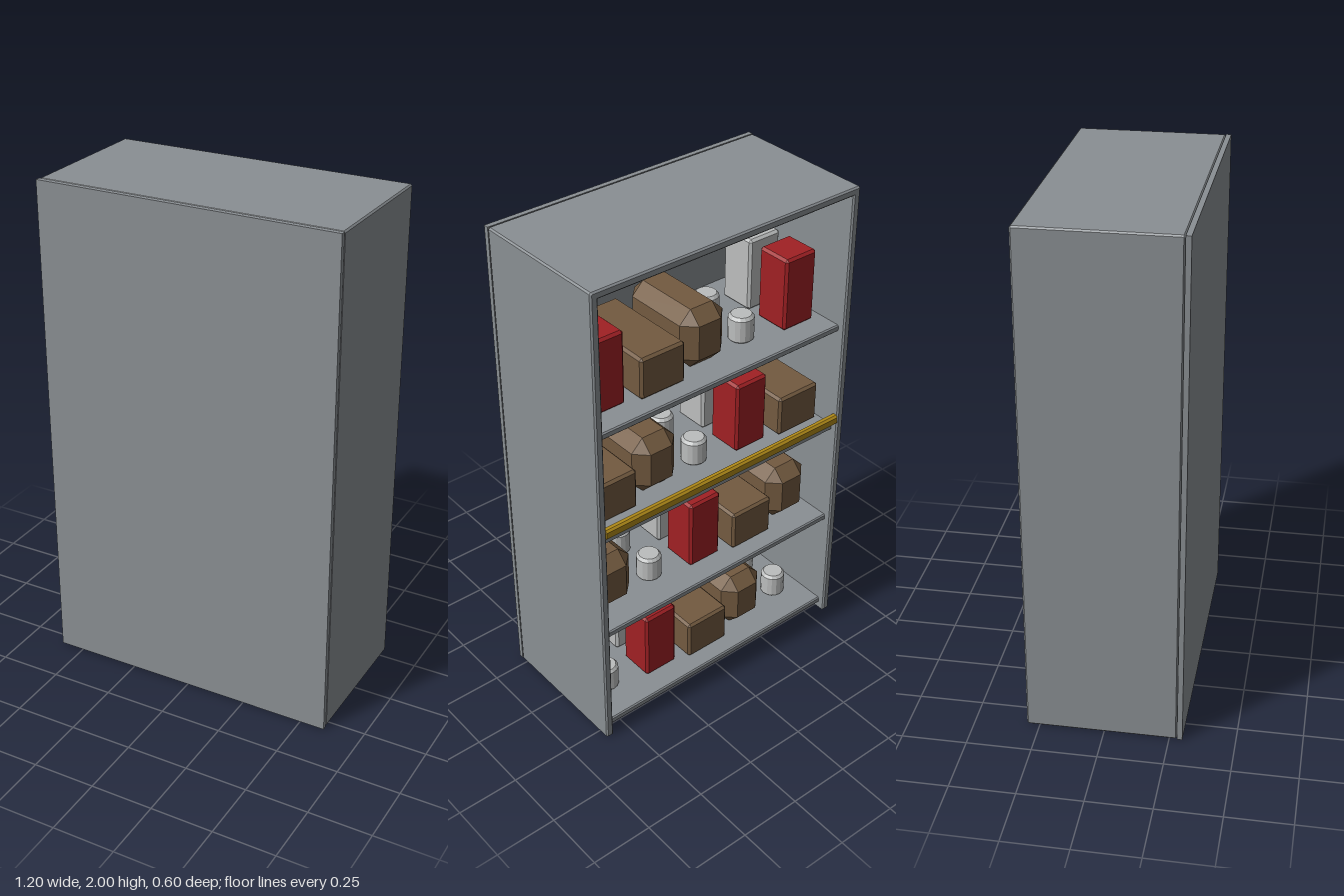
import * as THREE from 'three';
import { ConvexGeometry } from 'three/addons/geometries/ConvexGeometry.js';

const mat = (name, hex) => {
  const m = new THREE.MeshStandardMaterial({ color: hex });
  m.name = name;
  return m;
};

// Box with flat chamfers on all edges, standing on its base
function chamferBox(w, h, d, c) {
  const pts = [];
  for (const sx of [-1, 1]) for (const sy of [-1, 1]) for (const sz of [-1, 1]) {
    for (const [a, b, e] of [[0, c, c], [c, 0, c], [c, c, 0]]) {
      pts.push(new THREE.Vector3(sx * (w / 2 - a), h / 2 + sy * (h / 2 - b), sz * (d / 2 - e)));
    }
  }
  return new ConvexGeometry(pts);
}

export function createModel() {
  const grey = mat('steel grey', 0x8a8f93);
  const red = mat('red', 0xa02024);
  const brown = mat('brown', 0x735a40);
  const white = mat('off white', 0xbcbebe);
  const yellow = mat('yellow', 0xb08a18);

  const model = new THREE.Group();
  model.name = 'storageCabinet';
  const add = (parent, name, geometry, material, x, y, z) => {
    const mesh = new THREE.Mesh(geometry, material);
    mesh.name = name;
    mesh.position.set(x, y, z);
    parent.add(mesh);
  };

  // Casing: two sides and a top, open at the back and between the feet
  const b = 0.006, t = 0.032;
  const casing = new THREE.Shape([
    [-0.6, b], [-0.6 + b, 0], [-0.6 + t, 0], [-0.6 + t, 2 - t], [0.6 - t, 2 - t], [0.6 - t, 0],
    [0.6 - b, 0], [0.6, b], [0.6, 2 - b], [0.6 - b, 2], [-0.6 + b, 2], [-0.6, 2 - b],
  ].map(([x, y]) => new THREE.Vector2(x, y)));
  add(model, 'casing', new THREE.ExtrudeGeometry(casing, {
    depth: 0.58 - 2 * b, bevelThickness: b, bevelSize: b, bevelOffset: -b, bevelSegments: 1,
  }), grey, 0, 0, -0.3 + b);

  // Closed front panel
  add(model, 'frontPanel', new THREE.BoxGeometry(1.2, 2, 0.02), grey, 0, 1, 0.29);

  // Safety bar across the open side
  add(model, 'safetyBar', chamferBox(1.15, 0.042, 0.03, 0.008), yellow, 0, 0.979, -0.285);

  // Shared goods
  const canProfile = [[0, 0], [0.044, 0], [0.05, 0.006], [0.05, 0.094], [0.04, 0.106], [0, 0.106]]
    .map(([x, y]) => new THREE.Vector2(x, y));
  const canLathe = new THREE.LatheGeometry(canProfile, 16).toNonIndexed();
  canLathe.computeVertexNormals();
  const carton = chamferBox(0.15, 0.3, 0.15, 0.01);
  const parcel = chamferBox(0.2, 0.17, 0.4, 0.01);
  const sack = chamferBox(0.2, 0.24, 0.37, 0.05);
  const row = 0.1;

  // Each slot filler places its goods at x on a shelf group
  const fillers = [
    (g, x) => {
      add(g, 'redCarton', carton, red, x, 0, -row);
      add(g, 'whiteCarton', carton, white, x, 0, row);
    },
    (g, x) => add(g, 'brownParcel', parcel, brown, x, 0, 0),
    (g, x) => add(g, 'brownSack', sack, brown, x, 0, 0),
    (g, x) => {
      for (const z of [-row, row]) add(g, 'can', canLathe, white, x, 0, z);
    },
  ];

  // Four shelves, the goods shifting by one slot per level
  const shelfGeometry = chamferBox(1.15, 0.028, 0.555, 0.005);
  for (let level = 0; level < 4; level++) {
    const shelf = new THREE.Group();
    shelf.name = 'shelf' + (level + 1);
    shelf.position.y = 0.053 + level * 0.456;
    add(shelf, 'shelfBoard', shelfGeometry, grey, 0, -0.028, 0.0075);
    for (let slot = 0; slot < 5; slot++) {
      fillers[(slot + 3 - level) % 4](shelf, 0.45 - slot * 0.225);
    }
    model.add(shelf);
  }
  return model;
}
